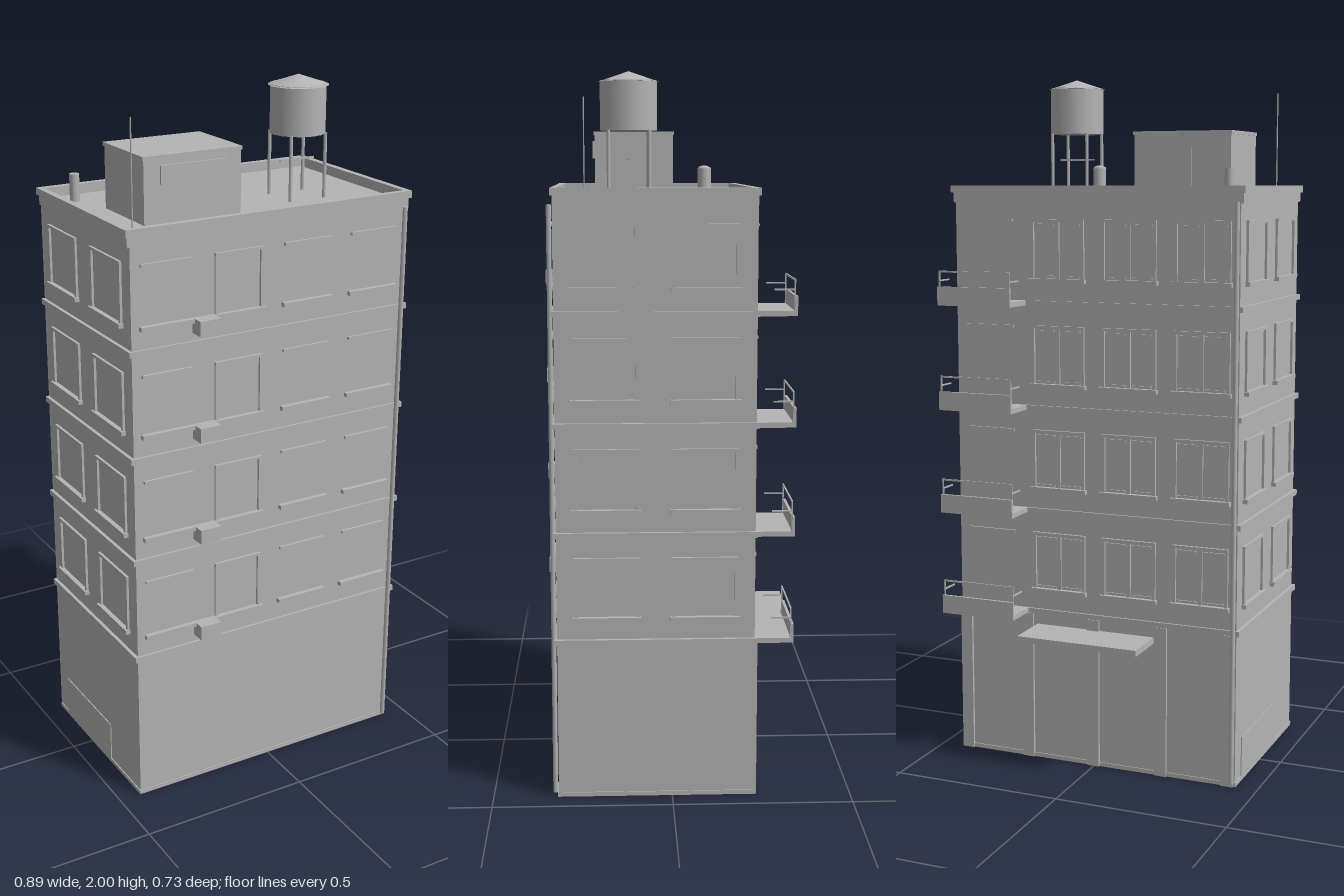
import * as THREE from 'three';

export function createModel() {
  const model = new THREE.Group();
  model.name = 'apartmentBlock';
  const grey = new THREE.MeshStandardMaterial({ color: 0xb4b4b4 });
  grey.name = 'plaster grey';

  const add = (parent, name, geo, x, y, z) => {
    const m = new THREE.Mesh(geo, grey);
    m.name = name;
    m.position.set(x, y, z);
    parent.add(m);
    return m;
  };
  // box given by its minimum and maximum corners
  const box = (parent, name, x0, x1, y0, y1, z0, z1) => add(parent, name,
    new THREE.BoxGeometry(x1 - x0, y1 - y0, z1 - z0), (x0 + x1) / 2, (y0 + y1) / 2, (z0 + z1) / 2);
  // upright cylinder between two heights
  const post = (parent, name, x, z, r, y0, y1, sides = 8) => add(parent, name,
    new THREE.CylinderGeometry(r, r, y1 - y0, sides), x, (y0 + y1) / 2, z);

  const X = 0.433, ZB = -0.228, ZF = 0.318;
  const ROOF = 1.66, STOREY = 0.302;

  // main block and plinth
  box(model, 'body', -X, X, 0, ROOF, ZB, ZF);
  box(model, 'plinth', -X - 0.003, X + 0.003, 0, 0.012, ZB - 0.003, ZF + 0.003);

  // roof cornice and parapet
  const parapet = new THREE.Group();
  parapet.name = 'parapet';
  model.add(parapet);
  for (const [y0, y1, out] of [[1.64, 1.668, 0.007], [1.668, 1.688, 0.013]]) {
    box(parapet, 'parapetFront', -X - out, X + out, y0, y1, ZF - 0.012, ZF + out - 0.007);
    box(parapet, 'parapetBack', -X - out, X + out, y0, y1, ZB - out + 0.007, ZB + 0.014);
    for (const s of [-1, 1]) {
      const a = s * (X + out), b = s * (X - 0.006);
      box(parapet, 'parapetSide', Math.min(a, b), Math.max(a, b), y0, y1, ZB, ZF);
    }
  }

  // window trim facing +z; the outline is optional
  const windowUnit = (parent, x, y, z, turn, w, frame, mullion) => {
    const g = new THREE.Group();
    g.name = 'window';
    g.position.set(x, y, z);
    g.rotation.y = turn;
    parent.add(g);
    const h = 0.17, a = w / 2;
    box(g, 'sill', -a - 0.005, a + 0.005, -0.006, 0.006, -0.005, 0.014);
    box(g, 'lintel', -a, a, h - 0.005, h + 0.003, -0.005, 0.008);
    if (frame) for (const s of [-1, 1]) box(g, 'jamb', s * (a - 0.005) - 0.005, s * (a - 0.005) + 0.005, 0, h, -0.005, 0.007);
    if (mullion) {
      box(g, 'mullion', -0.006, 0.006, 0, h, -0.005, 0.005);
      for (const s of [-1, 1]) {
        box(g, 'paneFrame', s * 0.04 - 0.03, s * 0.04 + 0.03, 0.008, 0.014, -0.005, 0.004);
        box(g, 'paneFrame', s * 0.04 - 0.03, s * 0.04 + 0.03, h - 0.016, h - 0.01, -0.005, 0.004);
      }
    }
  };

  // balcony on the back wall
  const balcony = (parent, f) => {
    const g = new THREE.Group();
    g.name = 'balcony';
    parent.add(g);
    box(g, 'balconySlab', 0.21, 0.44, f - 0.002, f + 0.012, -0.333, ZB);
    box(g, 'balconyPanel', 0.21, 0.44, f - 0.002, f + 0.052, -0.335, -0.327);
    box(g, 'topRail', 0.212, 0.438, f + 0.092, f + 0.097, -0.329, -0.325);
    for (const x of [0.214, 0.436]) {
      box(g, 'sideRail', x - 0.002, x + 0.002, f + 0.067, f + 0.071, -0.328, -0.272);
      box(g, 'railPost', x - 0.002, x + 0.002, f, f + 0.097, -0.329, -0.325);
    }
  };

  // four upper storeys
  for (let i = 0; i < 4; i++) {
    const f = 0.445 + i * STOREY;
    const floor = new THREE.Group();
    floor.name = 'storey' + (i + 1);
    model.add(floor);
    box(floor, 'floorBand', -X - 0.01, X + 0.01, f - 0.004, f + 0.012, ZB - 0.006, ZF + 0.007);
    const y = f + 0.07;
    for (const x of [-0.33, -0.11, 0.106, 0.322]) windowUnit(floor, x, y, ZF, 0, 0.15, x === -0.11, false);
    for (const x of [-0.325, -0.108, 0.11]) windowUnit(floor, x, y, ZB, Math.PI, 0.165, true, true);
    box(floor, 'balconyDoorLintel', 0.25, 0.4, y + 0.165, y + 0.172, ZB - 0.006, ZB);
    for (const s of [-1, 1]) for (const z of [-0.09, 0.18]) {
      windowUnit(floor, s * X, y, z, s * Math.PI / 2, 0.18, true, false);
    }
    box(floor, 'airConditioner', -0.252, -0.188, f + 0.034, f + 0.076, ZF, 0.362);
    balcony(floor, f);
  }

  // ground floor: pilasters, entrance canopy, side panel
  for (const x of [-0.41, -0.208, 0.002, 0.212, 0.415]) box(model, 'pilaster', x - 0.018, x + 0.018, 0, 0.442, ZB - 0.008, ZB);
  box(model, 'entranceCanopy', -0.185, 0.182, 0.392, 0.41, -0.366, ZB);
  box(model, 'sidePanel', -X - 0.003, -X, 0.012, 0.13, -0.175, 0.13);

  // downpipes
  post(model, 'downpipe', 0.423, 0.327, 0.007, 0.01, 1.645);
  post(model, 'downpipe', -0.425, -0.236, 0.007, 0.01, 1.645);

  // stair house on the roof
  const stair = new THREE.Group();
  stair.name = 'stairHouse';
  model.add(stair);
  box(stair, 'stairHouseWalls', -0.333, -0.04, ROOF, 1.832, -0.02, 0.208);
  box(stair, 'stairHouseRoof', -0.336, -0.037, 1.832, 1.842, -0.023, 0.211);
  box(stair, 'stairHouseDoor', -0.215, -0.157, ROOF, 1.795, -0.025, -0.02);
  box(stair, 'ventPanel', -0.285, -0.085, 1.765, 1.815, 0.208, 0.215);

  // water tank on legs
  const tank = new THREE.Group();
  tank.name = 'waterTank';
  tank.position.set(0.2, 0, 0.112);
  model.add(tank);
  post(tank, 'tankBody', 0, 0, 0.079, 1.84, 1.975, 16);
  add(tank, 'tankRoof', new THREE.ConeGeometry(0.085, 0.028, 16), 0, 1.986, 0);
  for (const x of [-0.056, 0.056]) for (const z of [-0.056, 0.056]) post(tank, 'tankLeg', x, z, 0.005, ROOF, 1.842);
  box(tank, 'legBrace', -0.056, 0.056, 1.762, 1.767, -0.0025, 0.0025);

  // roof vents and antenna
  post(model, 'ventPipe', -0.37, -0.14, 0.014, ROOF, 1.737, 12);
  post(model, 'ventPipe', 0.032, -0.107, 0.018, ROOF, 1.738, 12);
  add(model, 'ventCap', new THREE.SphereGeometry(0.019, 12, 4, 0, Math.PI * 2, 0, Math.PI / 2), 0.032, 1.735, -0.107).scale.y = 0.5;
  post(model, 'antenna', -0.387, 0.246, 0.002, ROOF, 1.955, 6);

  return model;
}
